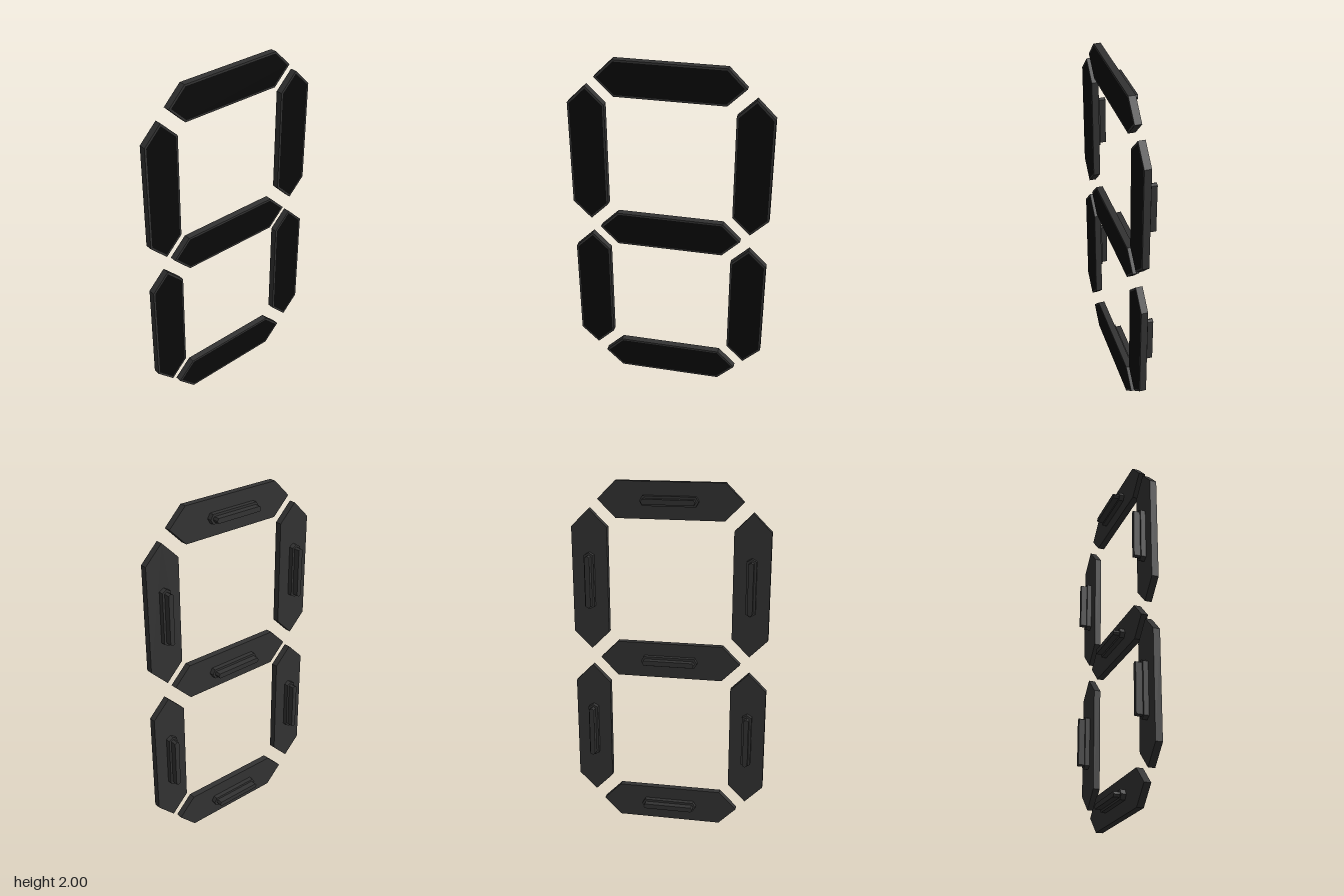
import * as THREE from 'three';

const dark = new THREE.MeshStandardMaterial({ color: 0x333333, flatShading: true });
const black = new THREE.MeshStandardMaterial({ color: 0x0a0a0a, flatShading: true });

// Elongated hexagon along x: pointed tips at +-tip, shoulders at +-shoulder
function hexagon(tip, shoulder, halfWidth) {
  return new THREE.Shape([
    [tip, 0], [shoulder, halfWidth], [-shoulder, halfWidth],
    [-tip, 0], [-shoulder, -halfWidth], [shoulder, -halfWidth],
  ].map(([x, y]) => new THREE.Vector2(x, y)));
}

function slab(shape, z0, z1) {
  const g = new THREE.ExtrudeGeometry(shape, { depth: z1 - z0, bevelEnabled: false });
  return g.translate(0, 0, z0);
}

// Every segment shares these four geometries
const parts = [
  ['segmentBody', slab(hexagon(0.397, 0.297, 0.1), 0.012, 0.0495), dark],
  ['segmentFace', new THREE.ShapeGeometry(hexagon(0.382, 0.292, 0.09)).translate(0, 0, 0.05), black],
  ['mountBase', slab(hexagon(0.16, 0.144, 0.027), -0.015, 0.012), dark],
  ['mountTab', slab(hexagon(0.146, 0.138, 0.014), -0.05, -0.015), dark],
];

function segment(name, x, y, upright) {
  const group = new THREE.Group();
  group.name = name;
  for (const [partName, geometry, material] of parts) {
    const mesh = new THREE.Mesh(geometry, material);
    mesh.name = partName;
    group.add(mesh);
  }
  group.position.set(x, y, 0);
  if (upright) group.rotation.z = Math.PI / 2;
  return group;
}

export function createModel() {
  const model = new THREE.Group();
  model.name = 'sevenSegmentDigit';

  // Horizontal bars
  model.add(segment('topSegment', 0, 1.9, false));
  model.add(segment('middleSegment', 0, 1.002, false));
  model.add(segment('bottomSegment', 0, 0.1, false));

  // Upright bars, mirrored left and right
  for (const [side, x] of [['Left', 0.448], ['Right', -0.448]]) {
    model.add(segment('upper' + side + 'Segment', x, 1.45, true));
    model.add(segment('lower' + side + 'Segment', x, 0.555, true));
  }
  return model;
}
